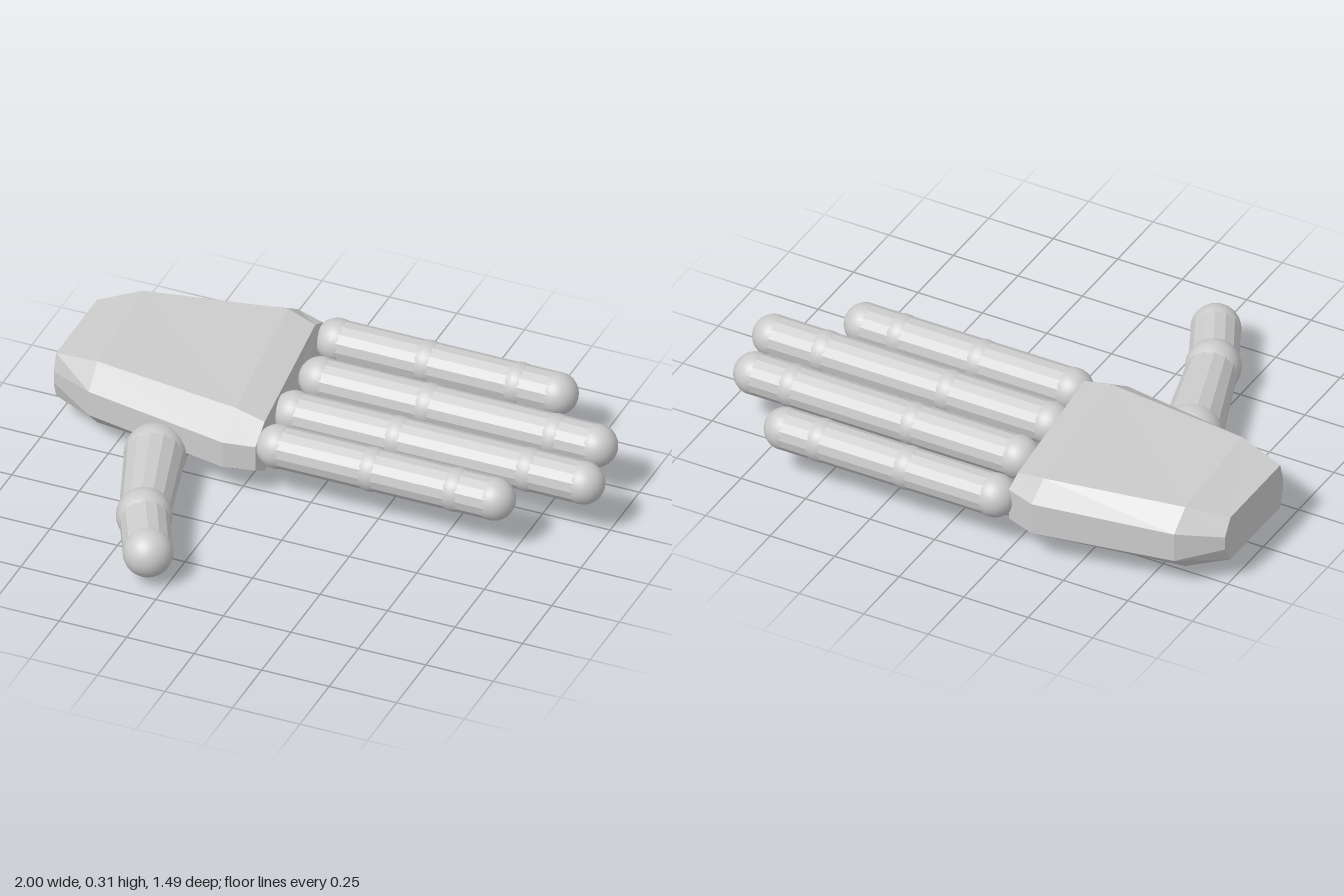
import * as THREE from 'three';

const flat = new THREE.MeshStandardMaterial({ color: 0xcccccc, flatShading: true });
const smooth = new THREE.MeshStandardMaterial({ color: 0xcccccc });

function ball(name, p, r) {
  const m = new THREE.Mesh(new THREE.SphereGeometry(r, 24, 16), smooth);
  m.name = name;
  m.position.copy(p);
  return m;
}

// Tapered bone running from a to b
function bone(name, a, b, ra, rb) {
  const dir = b.clone().sub(a);
  const m = new THREE.Mesh(new THREE.CylinderGeometry(rb, ra, dir.length(), 14), flat);
  m.name = name;
  m.position.copy(a).add(b).multiplyScalar(0.5);
  m.quaternion.setFromUnitVectors(new THREE.Vector3(0, 1, 0), dir.normalize());
  return m;
}

// Chain of joint balls linked by bones
function digit(name, points, ballRadii, boneRadii) {
  const g = new THREE.Group();
  g.name = name;
  points.forEach((p, i) => {
    const last = i === points.length - 1;
    g.add(ball(last ? 'tip' : 'joint', p, ballRadii[i]));
    if (!last) g.add(bone('segment', p, points[i + 1], boneRadii[i], boneRadii[i + 1]));
  });
  return g;
}

// Palm: octagonal sections lofted from wrist to knuckles
function palm() {
  // back and front edges: x, outer z, flat z, bottom y, side low y, side high y, top y
  const sections = [
    { b: [-1, -0.52, -0.48, 0.09, 0.155, 0.205, 0.265], f: [-1, -0.11, -0.13, 0.09, 0.155, 0.2, 0.265] },
    { b: [-0.86, -0.625, -0.545, 0.055, 0.125, 0.235, 0.3], f: [-0.83, -0.017, -0.09, 0.05, 0.125, 0.22, 0.3] },
    { b: [-0.36, -0.72, -0.635, 0.075, 0.13, 0.25, 0.305], f: [-0.29, 0.085, -0.025, 0.045, 0.12, 0.22, 0.295] },
    { b: [-0.25, -0.68, -0.615, 0.09, 0.13, 0.25, 0.28], f: [-0.18, 0.06, -0.02, 0.07, 0.12, 0.215, 0.27] },
  ];
  const pos = [], idx = [], n = 8;
  for (const { b, f } of sections) {
    const side = ([x, out, inn, y0, y1, y2, y3]) => [[x, y0, inn], [x, y1, out], [x, y2, out], [x, y3, inn]];
    const ring = [...side(f), ...side(b).reverse()];
    ring.forEach((p) => pos.push(...p));
  }
  for (let s = 0; s < sections.length - 1; s++) {
    for (let i = 0; i < n; i++) {
      const a = s * n + i, c = s * n + (i + 1) % n;
      idx.push(a, a + n, c, c, a + n, c + n);
    }
  }
  // End caps
  const e = (sections.length - 1) * n;
  for (let i = 1; i < n - 1; i++) {
    idx.push(0, i, i + 1);
    idx.push(e, e + i + 1, e + i);
  }
  const geo = new THREE.BufferGeometry();
  geo.setAttribute('position', new THREE.Float32BufferAttribute(pos, 3));
  geo.setIndex(idx);
  const flatGeo = geo.toNonIndexed();
  flatGeo.computeVertexNormals();
  const m = new THREE.Mesh(flatGeo, flat);
  m.name = 'palm';
  return m;
}

export function createModel() {
  const hand = new THREE.Group();
  hand.name = 'hand';
  hand.add(palm());

  // Fingers: z, then x of knuckle, two joints and tip centre
  const fingers = {
    indexFinger: [0.003, -0.12, 0.23, 0.54, 0.68],
    middleFinger: [-0.207, -0.15, 0.235, 0.72, 0.92],
    ringFinger: [-0.432, -0.15, 0.25, 0.72, 0.87],
    littleFinger: [-0.668, -0.19, 0.145, 0.48, 0.622],
  };
  for (const [name, [z, ...xs]] of Object.entries(fingers)) {
    const points = xs.map((x) => new THREE.Vector3(x, 0.2, z));
    hand.add(digit(name, points, [0.077, 0.077, 0.077, 0.075], [0.074, 0.074, 0.074, 0.074]));
  }

  // Thumb
  hand.add(digit('thumb', [
    new THREE.Vector3(-0.54, 0.108, 0.085),
    new THREE.Vector3(-0.42, 0.118, 0.455),
    new THREE.Vector3(-0.32, 0.118, 0.655),
  ], [0.108, 0.097, 0.087], [0.106, 0.088, 0.086]));
  return hand;
}
